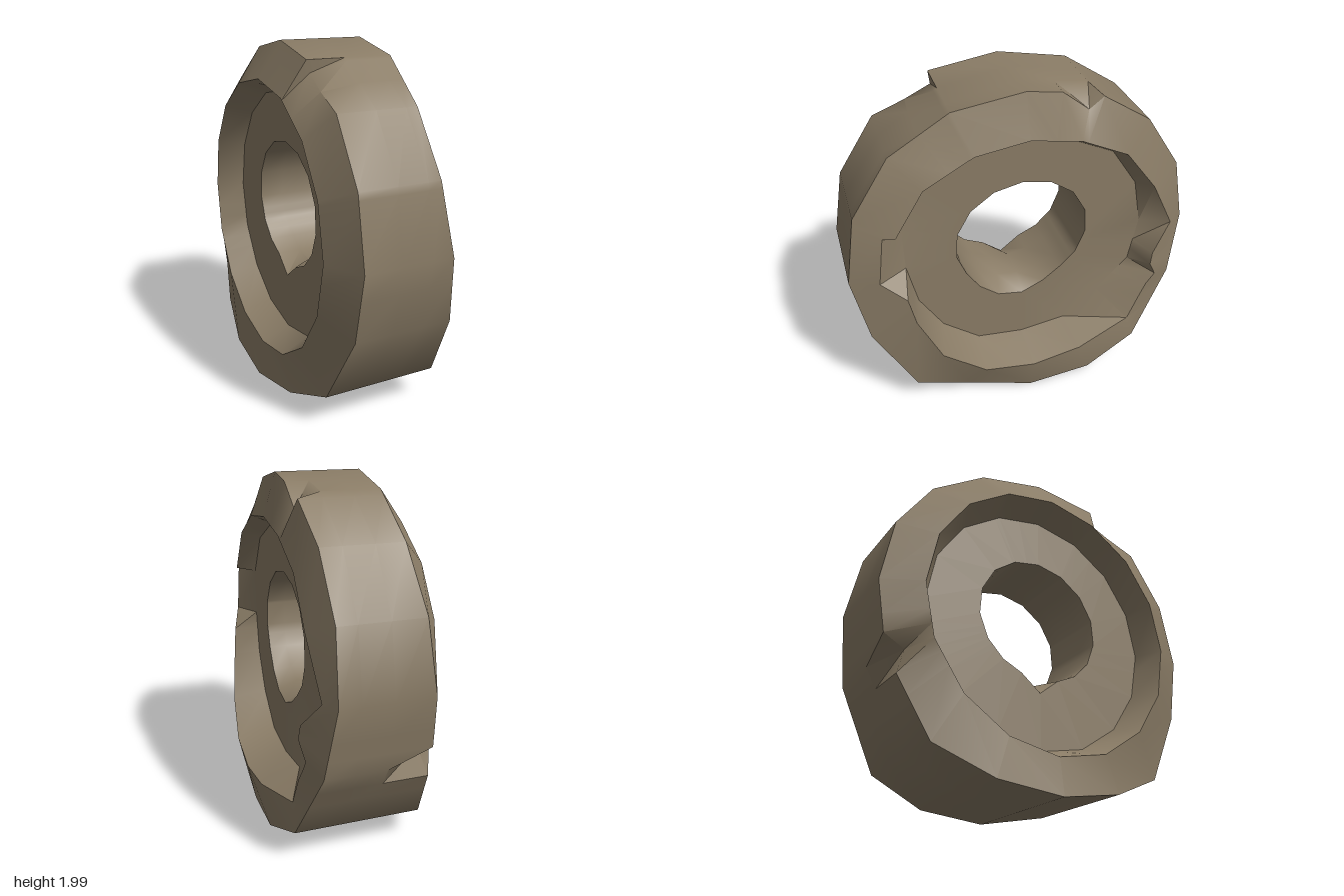
import * as THREE from 'three';
import { toCreasedNormals } from 'three/addons/utils/BufferGeometryUtils.js';

// Sixteen values around the wheel, starting at the top and turning towards the front
const TREAD_R = [0.99, 1, 1, 1, 1, 1.005, 1, 1, 1, 1, 1, 1.02, 1, 1, 1, 1];
const TREAD_DROP = [0, 0, 0, 0, 0, 0, 0.09, 0.01, 0, 0.035, 0.11, 0, 0, 0, 0, 0];
const TREAD_LEFT_X = [0.23, 0.2, 0.165, 0.175, 0.22, 0.27, 0.33, 0.32, 0.39, 0.4, 0.35, 0.27, 0.22, 0.21, 0.22, 0.235];
const TREAD_RIGHT_X = [-0.26, -0.285, -0.285, -0.285, -0.285, -0.29, -0.335, -0.4, -0.44, -0.43, -0.37, -0.31, -0.29, -0.26, -0.23, -0.23];
const RIM_R = [0.75, 0.77, 0.8, 0.79, 0.73, 0.73, 0.775, 0.785, 0.77, 0.79, 0.81, 0.82, 0.8, 0.81, 0.79, 0.75];
const FLOOR_R = [0.69, 0.71, 0.75, 0.74, 0.68, 0.68, 0.7, 0.73, 0.71, 0.73, 0.7, 0.75, 0.74, 0.74, 0.74, 0.7];

// Chips: cross-section point and column position, then change of radius and of x
const CHIPS = {
  treadLeft: { 15: [-0.1, -0.01] },
  treadRight: { 1.06: [-0.06, 0.02], 1.5: [-0.04, 0.01], 11: [-0.12, 0.03] },
  rimLeft: {
    3.1: [0.07, -0.03], 4: [0.11, -0.04],
    10: [0.12, -0.05], 10.5: [0.08, -0.04], 10.75: [0.07, -0.04], 11: [0.07, -0.03],
    12: [0.11, -0.05],
  },
  holeLeft: { 6: [0.03, 0], 7: [0.065, 0], 8: [0.07, 0], 9: [0.03, 0] },
  holeRight: { 8: [0.08, 0] },
};
// Columns that bound the chips between the sixteen regular ones
const EXTRA = [1.06, 1.5, 3.1, 4.4, 10.5, 10.75, 11.25, 11.5, 14.88, 15.5];

// Closed cross-section of the unbroken wheel at regular column i
function section(i) {
  const t = i * Math.PI / 8, cos = Math.cos(t), sin = Math.sin(t);
  const rimX = 0.3 + 0.135 * Math.max(0, (0.5 - cos * RIM_R[i]) / 1.27) ** 2;
  const hole = 0.37 + 0.06 * cos + 0.02 * sin * sin;
  const point = (r, x, drop = 0) => new THREE.Vector3(x, 1 + r * cos - drop, r * sin);
  const tread = (x) => point(TREAD_R[i], x, TREAD_DROP[i]);
  return {
    treadLeft: tread(TREAD_LEFT_X[i]),
    treadInnerLeft: tread(0.1),
    treadInnerRight: tread(-0.07),
    treadRight: tread(TREAD_RIGHT_X[i]),
    rimRight: point(0.79, -0.395 - 0.015 * Math.max(0, -cos)),
    floorRight: point(0.72, -0.24),
    holeRight: point(hole, -0.24),
    holeInnerRight: point(hole, -0.1),
    holeInnerLeft: point(hole, 0.08),
    holeLeft: point(hole, 0.19),
    floorLeft: point(FLOOR_R[i], 0.19),
    rimLeft: point(RIM_R[i], rimX),
  };
}

// Cross-section at any column position, with its chips knocked out
function chippedSection(k) {
  const i = Math.floor(k), t = k * Math.PI / 8;
  const from = section(i), to = section((i + 1) % 16);
  return Object.entries(from).map(([name, p]) => {
    p.lerp(to[name], k - i);
    const [dr, dx] = CHIPS[name]?.[k] ?? [0, 0];
    return [p.x + dx, p.y + dr * Math.cos(t), p.z + dr * Math.sin(t)];
  });
}

function wheelGeometry() {
  const columns = [...Array(16).keys(), ...EXTRA].sort((a, b) => a - b);
  const rings = columns.map(chippedSection);
  const m = rings.length, n = rings[0].length, index = [];
  for (let i = 0; i < m; i++) {
    for (let j = 0; j < n; j++) {
      const i2 = (i + 1) % m, j2 = (j + 1) % n;
      const a = i * n + j, b = i * n + j2, c = i2 * n + j2, d = i2 * n + j;
      index.push(a, b, c, a, c, d);
    }
  }
  const g = new THREE.BufferGeometry();
  g.setAttribute('position', new THREE.Float32BufferAttribute(rings.flat(2), 3));
  g.setIndex(index);
  return toCreasedNormals(g, 0.75);
}

export function createModel() {
  const model = new THREE.Group();
  model.name = 'stoneWheel';
  const stone = new THREE.MeshStandardMaterial({ color: 0x8a7c66 });
  stone.name = 'brown stone';
  const wheel = new THREE.Mesh(wheelGeometry(), stone);
  wheel.name = 'chippedWheel';
  model.add(wheel);
  return model;
}
